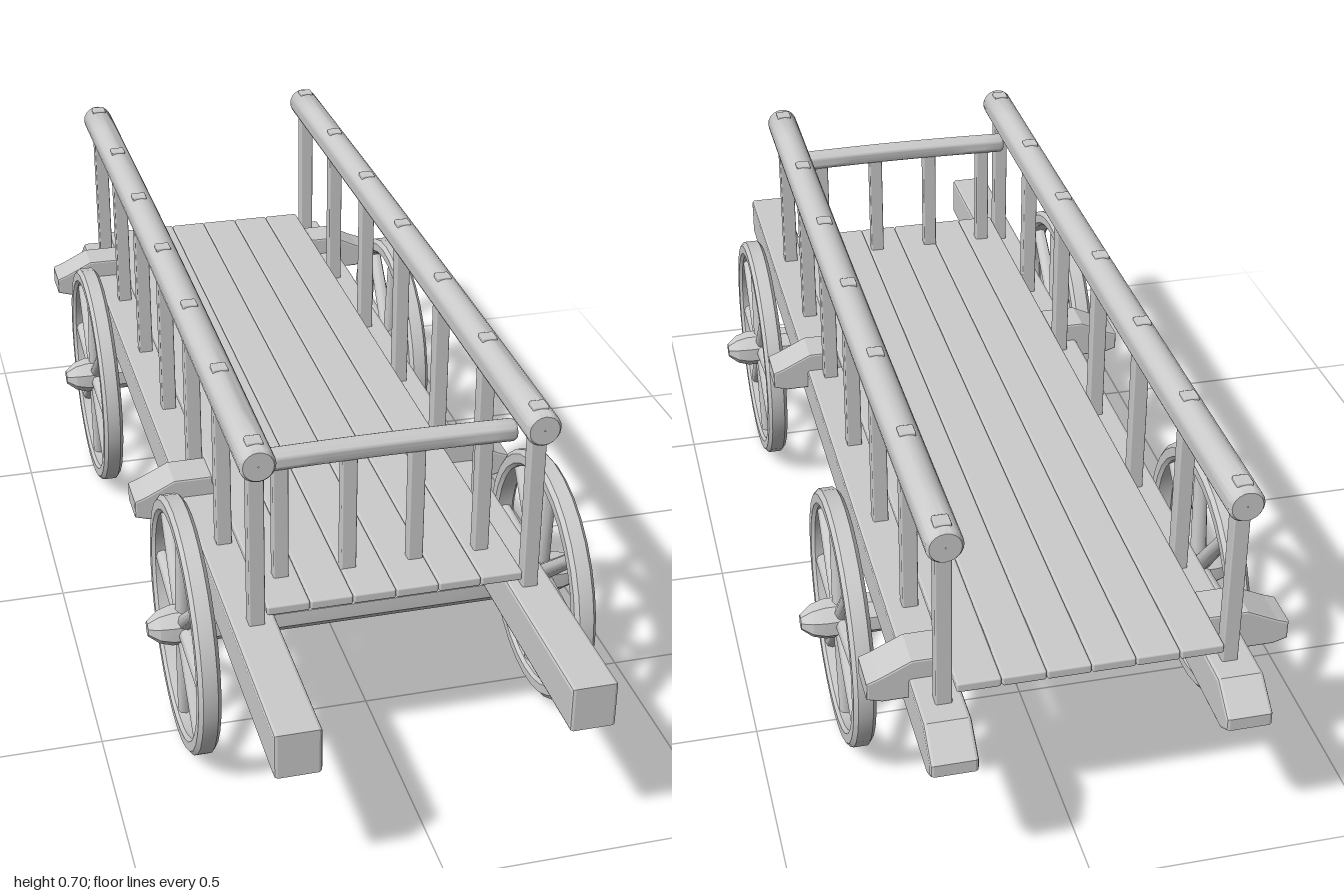
import * as THREE from 'three';
import { RoundedBoxGeometry } from 'three/addons/geometries/RoundedBoxGeometry.js';
import { toCreasedNormals } from 'three/addons/utils/BufferGeometryUtils.js';

const mat = new THREE.MeshStandardMaterial({ color: 0xcccccc });

function add(parent, name, geo, x = 0, y = 0, z = 0) {
  const mesh = new THREE.Mesh(geo, mat);
  mesh.name = name;
  mesh.position.set(x, y, z);
  parent.add(mesh);
  return mesh;
}

// Outline extruded to a given thickness, centred, with softened edges
function slab(points, depth, bevel) {
  const shape = new THREE.Shape(points.map(([u, v]) => new THREE.Vector2(u, v)));
  const geo = new THREE.ExtrudeGeometry(shape, {
    depth: depth - 2 * bevel, bevelSize: bevel, bevelThickness: bevel,
    bevelOffset: -bevel, bevelSegments: 2,
  });
  return geo.translate(0, 0, -depth / 2 + bevel);
}

// Round pole along y with rounded-off ends and a slight hand-cut waviness
function pole(length, radius, bow) {
  const h = length / 2, profile = [[0.001, -h], [radius * 0.85, -h], [radius, -h + 0.006]];
  for (let i = 1; i < 12; i++) profile.push([radius, -h + 0.006 + (i / 12) * (length - 0.012)]);
  profile.push([radius, h - 0.006], [radius * 0.85, h], [0.001, h]);
  const geo = new THREE.LatheGeometry(profile.map(([r, y]) => new THREE.Vector2(r, y)), 20);
  const p = geo.attributes.position;
  for (let i = 0; i < p.count; i++) {
    const t = p.getY(i) / h;
    p.setX(i, p.getX(i) + bow * Math.cos(t * Math.PI / 2));
  }
  return toCreasedNormals(geo, 0.7);
}

// Wheel in its own yz plane, axle along x
function makeWheel() {
  const wheel = new THREE.Group();
  wheel.name = 'wheel';
  const rim = [[0.203, -0.014], [0.209, -0.02], [0.226, -0.02], [0.234, -0.013], [0.234, 0.013],
    [0.226, 0.02], [0.209, 0.02], [0.203, 0.014], [0.203, -0.014]];
  const rimGeo = new THREE.LatheGeometry(rim.map(([r, y]) => new THREE.Vector2(r, y)), 32);
  rimGeo.rotateZ(Math.PI / 2);
  add(wheel, 'rim', toCreasedNormals(rimGeo, 0.4));
  for (let i = 0; i < 8; i++) {
    const spoke = new THREE.CylinderGeometry(0.013, 0.016, 0.19, 8);
    spoke.translate(0, 0.115, 0).rotateX(i * Math.PI / 4 + 0.09);
    add(wheel, 'spoke', toCreasedNormals(spoke, 0.9));
  }
  return wheel;
}

export function createModel() {
  const cart = new THREE.Group();
  cart.name = 'handCart';
  const midX = -0.008;
  const frontZ = 0.5, backZ = -0.495, axleY = 0.236;

  // Long side beams, cut to a slope at the back
  const beam = slab([[-1, 0.285], [-0.97, 0.267], [1, 0.267], [1, 0.35], [-0.945, 0.35], [-1, 0.308]], 0.08, 0.006);
  beam.rotateY(-Math.PI / 2);
  for (const s of [-1, 1]) add(cart, 'sideBeam', beam, midX + s * 0.247);

  // Cross beams with sloping ends
  const bolster = slab([[-0.366, 0.318], [-0.34, 0.31], [0.34, 0.31], [0.366, 0.318], [0.366, 0.352],
    [0.345, 0.36], [0.29, 0.387], [-0.29, 0.387], [-0.345, 0.36], [-0.366, 0.352]], 0.076, 0.004);
  for (const z of [0.22, -0.793]) add(cart, 'crossBeam', bolster, -0.017, 0, z);

  // Floor planks
  for (let i = 0; i < 6; i++) {
    add(cart, 'floorPlank', new RoundedBoxGeometry(0.0745, 0.018, 1.62, 2, 0.004),
      -0.0105 + (i - 2.5) * 0.0755, 0.382, -0.1);
  }

  // Side rails on posts whose tops poke through
  for (const s of [-1, 1]) {
    const x = midX + s * 0.243;
    add(cart, 'sideRail', pole(1.64, 0.031, 0.003).rotateX(Math.PI / 2), x, 0.67, -0.1);
    for (let i = 0; i < 7; i++) {
      add(cart, 'sidePost', new RoundedBoxGeometry(0.028, 0.36, 0.028, 1, 0.003), x, 0.524, 0.685 - i * 0.2625);
    }
  }

  // Front rail and spindles
  add(cart, 'frontRail', pole(0.46, 0.02, 0.003).rotateZ(Math.PI / 2), midX, 0.619, 0.615);
  for (let i = 0; i < 4; i++) {
    const spindle = new RoundedBoxGeometry(0.027, 0.235, 0.024, 1, 0.003);
    add(cart, 'frontSpindle', spindle, -0.012 + (i - 1.5) * 0.12, 0.498, 0.615);
  }

  // Eight-sided axles with pointed ends, and the wheels
  const axleProfile = [[0.001, -0.408], [0.014, -0.408], [0.03, -0.388], [0.037, -0.365],
    [0.037, 0.365], [0.03, 0.388], [0.014, 0.408], [0.001, 0.408]];
  for (const z of [frontZ, backZ]) {
    const axle = new THREE.LatheGeometry(axleProfile.map(([r, y]) => new THREE.Vector2(r, y)), 8, Math.PI / 8);
    axle.rotateZ(Math.PI / 2);
    add(cart, 'axle', toCreasedNormals(axle, 0.3), 0, axleY, z);
    for (const s of [-1, 1]) {
      const wheel = makeWheel();
      wheel.position.set(-0.004 + s * 0.337, axleY, z);
      cart.add(wheel);
    }
  }
  return cart;
}
